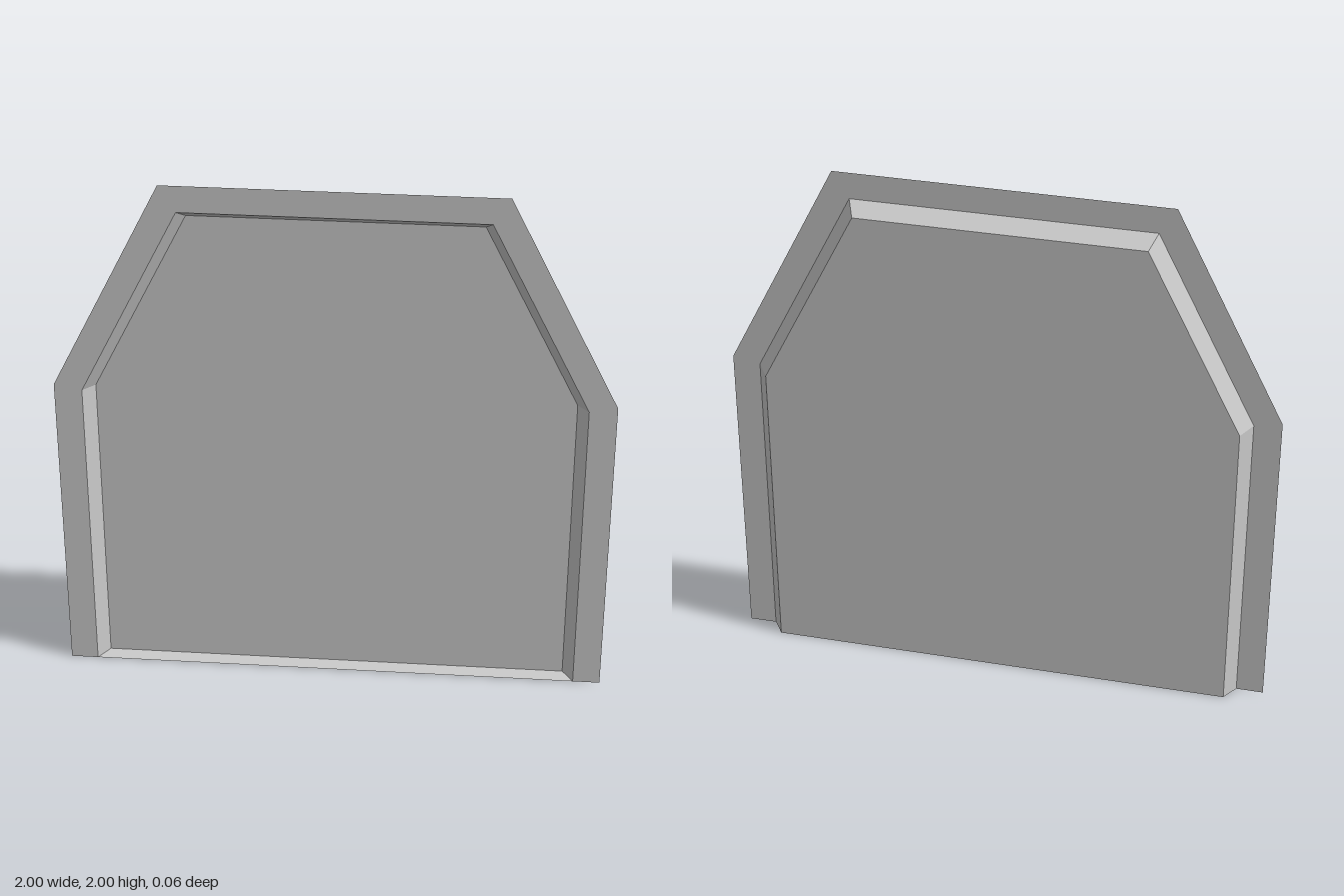
import * as THREE from 'three';

const FRONT = 0.03, BACK = -0.03;

// Symmetric arch outline, from bottom right over the top to bottom left
const arch = (w, shoulder, topW, h) =>
  [[w, 0], [w, shoulder], [topW, h], [-topW, h], [-w, shoulder], [-w, 0]];

const outer = arch(1, 1.2, 0.6, 2);
const rim = arch(0.9, 1.18, 0.54, 1.9);
const recess = arch(0.86, 1.17, 0.515, 1.86);

export function createModel() {
  const group = new THREE.Group();
  const material = new THREE.MeshStandardMaterial({
    color: 0xcccccc, flatShading: true, side: THREE.DoubleSide,
  });

  const add = (name, geometry) => {
    const mesh = new THREE.Mesh(geometry, material);
    mesh.name = name;
    group.add(mesh);
  };
  const sheet = (points, z) => new THREE.ShapeGeometry(
    new THREE.Shape(points.map(([x, y]) => new THREE.Vector2(x, y)))).translate(0, 0, z);

  // Flat border in front, open at the bottom
  add('borderFlange', sheet([...outer, ...[...rim].reverse()], FRONT));

  // Recessed flat panel at the back
  add('recessedPanel', sheet(recess, BACK));

  // Bevelled walls joining border and panel; the last one is the bottom sill
  rim.forEach((a, i) => {
    const j = (i + 1) % rim.length;
    const A = [...a, FRONT], B = [...rim[j], FRONT];
    const C = [...recess[j], BACK], D = [...recess[i], BACK];
    const geometry = new THREE.BufferGeometry();
    geometry.setAttribute('position',
      new THREE.Float32BufferAttribute([A, B, C, A, C, D].flat(), 3));
    geometry.computeVertexNormals();
    add(j === 0 ? 'bottomSill' : `bevelWall${i + 1}`, geometry);
  });

  return group;
}
